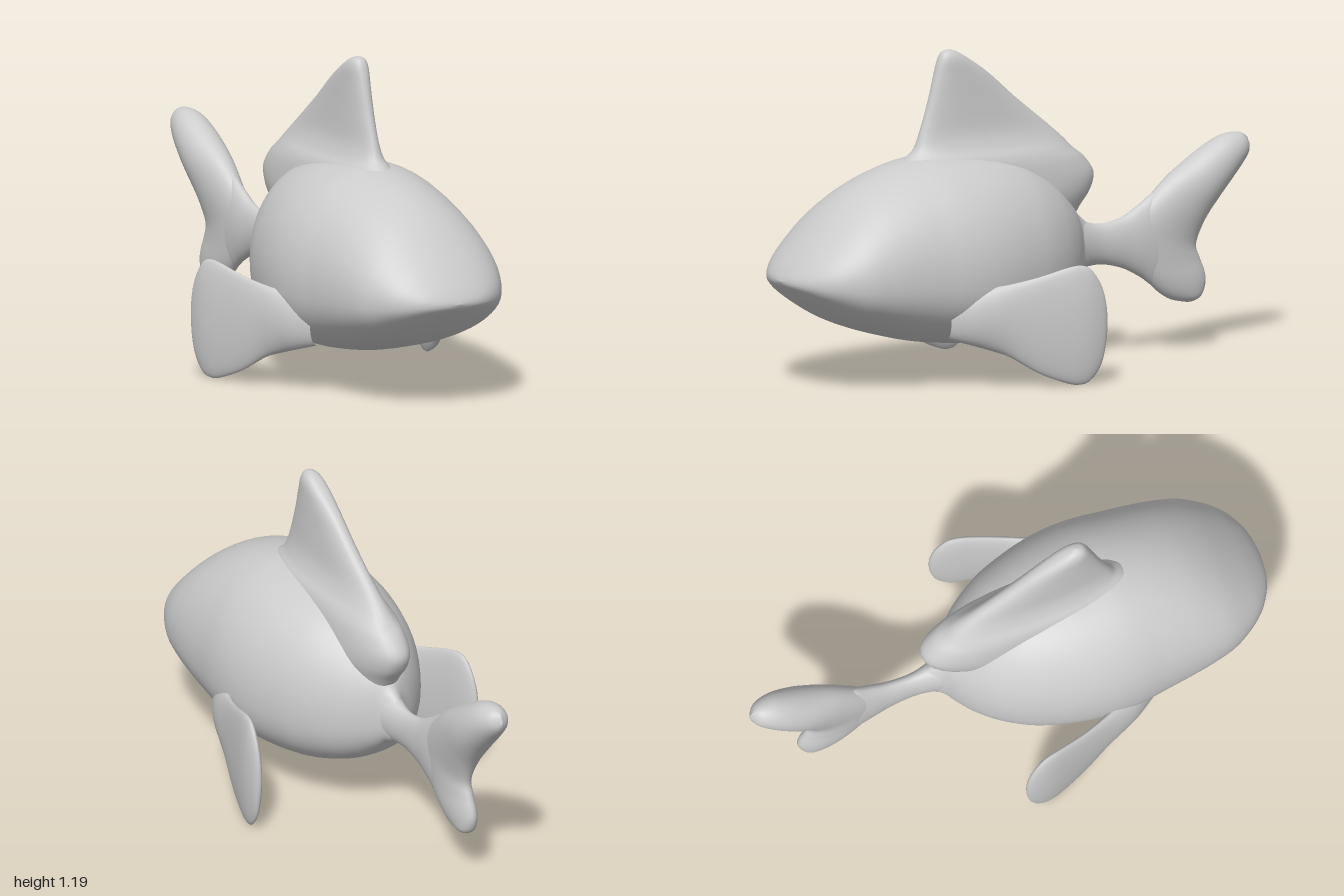
import * as THREE from 'three';

const material = new THREE.MeshStandardMaterial({ color: 0xcccccc });

// Smooth interpolation through rows of numbers
function sample(rows, u) {
  const i = Math.min(Math.floor(u), rows.length - 2), t = u - i;
  const at = k => rows[Math.max(0, Math.min(rows.length - 1, k))];
  const [a, b, c, d] = [at(i - 1), at(i), at(i + 1), at(i + 2)];
  return b.map((v, k) => v + 0.5 * t * (c[k] - a[k] +
    t * (2 * a[k] - 5 * v + 4 * c[k] - d[k] + t * (3 * (v - c[k]) + d[k] - a[k]))));
}

// Skin over oval sections. Row: [z, y of one edge, z, y of the other edge,
// half thickness, x offset, place of the widest point between the edges]
function loft(name, rows, { steps = 5, sides = 40, n1 = 2, n2 = 2 } = {}) {
  const pos = [], index = [], count = (rows.length - 1) * steps;
  for (let i = 0; i <= count; i++) {
    const [pz, py, qz, qy, t, x = 0, m = 0.5] = sample(rows, i / steps);
    const mz = pz + (qz - pz) * m, my = py + (qy - py) * m;
    for (let j = 0; j < sides; j++) {
      const a = j / sides * Math.PI * 2, c = Math.cos(a), s = Math.sin(a);
      const n = c > 0 ? n1 : n2;
      const k = Math.abs(c) ** (2 / n);
      const w = Math.sign(s) * Math.abs(s) ** (2 / n) * Math.max(t, 0);
      const [ez, ey] = c > 0 ? [pz, py] : [qz, qy];
      pos.push(x + w, my + (ey - my) * k, mz + (ez - mz) * k);
      if (i < count) {
        const p = i * sides + j, q = i * sides + (j + 1) % sides;
        index.push(p, q, p + sides, q, q + sides, p + sides);
      }
    }
  }
  const g = new THREE.BufferGeometry();
  g.setAttribute('position', new THREE.Float32BufferAttribute(pos, 3));
  g.setIndex(index);
  g.computeVertexNormals();
  const mesh = new THREE.Mesh(g, material);
  mesh.name = name;
  return mesh;
}

export function createModel() {
  const group = new THREE.Group();
  group.name = 'fish';

  // Body: z, top, bottom, half width; widest at the lip line
  const body = [
    [1, .41, .41, 0], [.99, .435, .39, .085], [.96, .48, .362, .16], [.9, .55, .315, .232],
    [.8, .648, .252, .292], [.7, .72, .21, .318], [.6, .768, .18, .332], [.5, .8, .155, .343],
    [.4, .818, .14, .355], [.3, .82, .13, .357], [.2, .815, .132, .345], [.1, .8, .142, .32],
    [0, .77, .163, .285], [-.1, .715, .2, .228], [-.17, .655, .243, .17], [-.22, .6, .29, .115],
    [-.26, .55, .33, .06], [-.3, .515, .345, .038],
  ].map(([z, top, low, w]) => [z, top, z, low, w, 0, top > low ? (top - .41) / (top - low) : .5]);
  group.add(loft('body', body, { sides: 64, n2: 2.4 }));

  // Dorsal fin: y, front z, back z, half thickness, flared at its base
  const dorsal = [
    [.5, .3, -.22, .08], [.58, .4, -.265, .11], [.64, .44, -.31, .12], [.7, .46, -.325, .118],
    [.76, .475, -.285, .112], [.8, .47, -.235, .1], [.84, .43, -.195, .075], [.9, .405, -.125, .055],
    [1, .372, 0, .047], [1.1, .345, .115, .042], [1.16, .327, .2, .037], [1.19, .31, .25, .023],
    [1.2, .285, .28, 0],
  ].map(([y, front, back, t]) => [front, y, back, y, t]);
  group.add(loft('dorsalFin', dorsal, { n1: 2.3, n2: 2.3 }));

  // Narrow stem between body and tail
  const stem = [
    [-.15, .59, .29, .13], [-.2, .565, .31, .09], [-.25, .535, .335, .06], [-.35, .5, .35, .036],
    [-.45, .513, .33, .036], [-.53, .555, .29, .043], [-.6, .595, .25, .043], [-.68, .57, .3, .03],
  ].map(([z, top, low, t]) => [z, top, z, low, t]);
  group.add(loft('tailStem', stem));

  // Forked tail, swept from the lower lobe to the upper tip
  group.add(loft('tailFin', [
    [-.755, .178, -.765, .18, 0], [-.72, .18, -.795, .205, .028], [-.65, .2, -.81, .25, .04],
    [-.58, .255, -.805, .29, .045], [-.52, .34, -.785, .34, .045], [-.5, .48, -.77, .39, .05],
    [-.62, .62, -.8, .47, .068], [-.75, .71, -.86, .555, .08], [-.87, .775, -.93, .635, .07],
    [-.95, .785, -.985, .7, .042], [-.99, .765, -1, .74, 0],
  ]));

  // Side fins: z, top, bottom, x, half thickness
  const sideFin = [
    [.46, .33, .19, .28, .03], [.38, .36, .165, .315, .045], [.31, .375, .142, .345, .042],
    [.25, .385, .118, .372, .033], [.15, .408, .055, .41, .028], [.05, .437, .014, .44, .03],
    [0, .444, .006, .452, .031], [-.04, .43, .02, .46, .028], [-.08, .37, .075, .466, .02],
    [-.1, .3, .16, .468, .01], [-.105, .235, .225, .468, 0],
  ];
  for (const [name, s] of [['leftSideFin', 1], ['rightSideFin', -1]])
    group.add(loft(name, sideFin.map(([z, top, low, x, t]) => [z, top, z, low, t, s * x])));

  return group;
}
